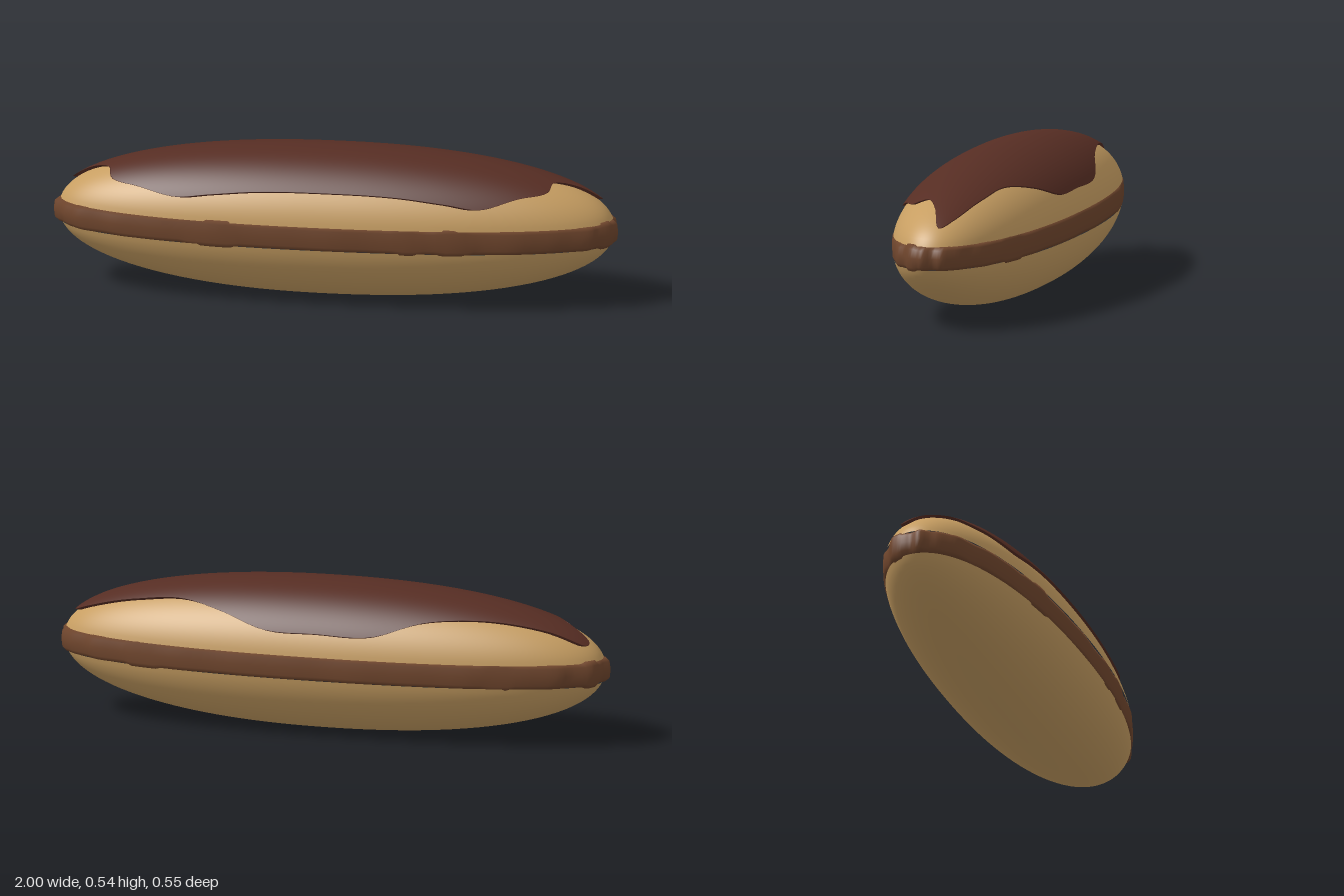
import * as THREE from 'three';

const MID = 0.267;   // height of the pastry's centre
const POWER = 2.2;   // fullness of the rounded ends
const SEGMENTS = 160;

// Closed band of rings, listed from bottom to top
function ringSurface(rows, point) {
  const positions = [], index = [];
  for (let i = 0; i <= rows; i++) {
    for (let j = 0; j < SEGMENTS; j++) positions.push(...point(i, j));
  }
  for (let i = 0; i < rows; i++) {
    for (let j = 0; j < SEGMENTS; j++) {
      const k = (j + 1) % SEGMENTS;
      const a = i * SEGMENTS + j, b = a + SEGMENTS, c = i * SEGMENTS + k, d = c + SEGMENTS;
      index.push(a, b, c, b, d, c);
    }
  }
  const geometry = new THREE.BufferGeometry();
  geometry.setAttribute('position', new THREE.Float32BufferAttribute(positions, 3));
  geometry.setIndex(index);
  geometry.computeVertexNormals();
  return geometry;
}

// Point of the long rounded body in a direction given by longitude and latitude
function bodyPoint(theta, phi, a, b, c) {
  const x = Math.cos(theta) * Math.cos(phi), y = Math.sin(phi), z = Math.sin(theta) * Math.cos(phi);
  const k = Math.pow(Math.pow(Math.abs(x), POWER) + Math.pow(Math.hypot(y, z), POWER), -1 / POWER);
  return [x * k * a, MID + y * k * b, z * k * c];
}

const angle = (j) => (j / SEGMENTS) * Math.PI * 2;

function createBun(cutY, height, upper) {
  const rows = 28;
  const cut = Math.asin((cutY - MID) / height);
  const pole = upper ? Math.PI / 2 : -Math.PI / 2;
  return ringSurface(rows, (i, j) => {
    const t = upper ? i / rows : 1 - i / rows;
    const p = bodyPoint(angle(j), cut + (pole - cut) * t, 0.985, height, 0.277);
    if (t === 0) p[1] = cutY;
    return p;
  });
}

// Piped cream: rippled side, with a few places squeezed thicker
function createFilling() {
  const bulges = [[1.1, 0.05], [1.27, 0.04], [2.0, 0.09], [0.22, 0.07], [3.4, 0.07], [4.0, 0.06], [5.4, 0.06]];
  const profile = [[0.85, -1], [0.985, -1], [1, -0.7], [1.004, 0], [1, 0.7], [0.985, 1], [0.85, 1]];
  return ringSurface(profile.length - 1, (i, j) => {
    const theta = angle(j);
    const thick = bulges.some(([at, width]) => Math.abs(theta - at) < width);
    const ripple = 0.006 * Math.sin(theta * 17) + 0.004 * Math.sin(theta * 29 + 1);
    const scale = profile[i][0] * (1 + ripple + (thick ? 0.004 : 0));
    const p = bodyPoint(theta, 0, 0.99, 0.26, 0.274);
    return [p[0] * scale, 0.2625 + profile[i][1] * (thick ? 0.048 : 0.0425), p[2] * scale];
  });
}

// Glaze: dripping outline seen from above, draped over the bun
function createGlaze() {
  const outline = [
    [0.94, -0.035], [0.85, 0.005], [0.78, 0.05], [0.765, 0.11], [0.67, 0.165], [0.55, 0.217],
    [0.42, 0.228], [0.25, 0.232], [0, 0.235], [-0.25, 0.232], [-0.42, 0.228], [-0.55, 0.217],
    [-0.68, 0.172], [-0.78, 0.12], [-0.8, 0.06], [-0.86, 0.01], [-0.94, -0.03], [-0.935, -0.06],
    [-0.8, -0.1], [-0.6, -0.145], [-0.4, -0.195], [-0.22, -0.25], [0, -0.257], [0.2, -0.25],
    [0.36, -0.205], [0.53, -0.148], [0.7, -0.12], [0.88, -0.075],
  ].map(([x, z]) => new THREE.Vector3(x, 0, z));
  const curve = new THREE.CatmullRomCurve3(outline, true, 'centripetal');
  const edge = curve.getPoints(SEGMENTS);
  const rows = 22;
  return ringSurface(rows, (i, j) => {
    const s = i < 2 ? 1 : Math.cos(((i - 1) / (rows - 1)) * Math.PI / 2);
    const x = edge[j].x * s, z = edge[j].z * s;
    const radius = Math.pow(Math.max(0, 1 - Math.pow(Math.abs(x) / 1.0, POWER)), 1 / POWER);
    const rise = 0.268 * Math.sqrt(Math.max(0, radius * radius - (z / 0.286) ** 2));
    const tuck = i === 0 ? 0.95 : 1; // rim turned in under the glaze
    return [x * tuck, MID + rise * tuck, z * tuck];
  });
}

export function createModel() {
  const model = new THREE.Group();
  model.name = 'eclair';
  const material = (name, color) => {
    const m = new THREE.MeshStandardMaterial({ color });
    m.name = name;
    return m;
  };
  const pastry = material('golden pastry', 0xc79e62);
  const cream = material('chocolate cream', 0x70462d);
  const chocolate = material('dark chocolate', 0x562d23);

  const add = (name, geometry, mat) => {
    const mesh = new THREE.Mesh(geometry, mat);
    mesh.name = name;
    model.add(mesh);
  };
  add('lowerBun', createBun(0.22, MID, false), pastry);
  add('upperBun', createBun(0.304, 0.258, true), pastry);
  add('filling', createFilling(), cream);
  add('glaze', createGlaze(), chocolate);
  return model;
}
